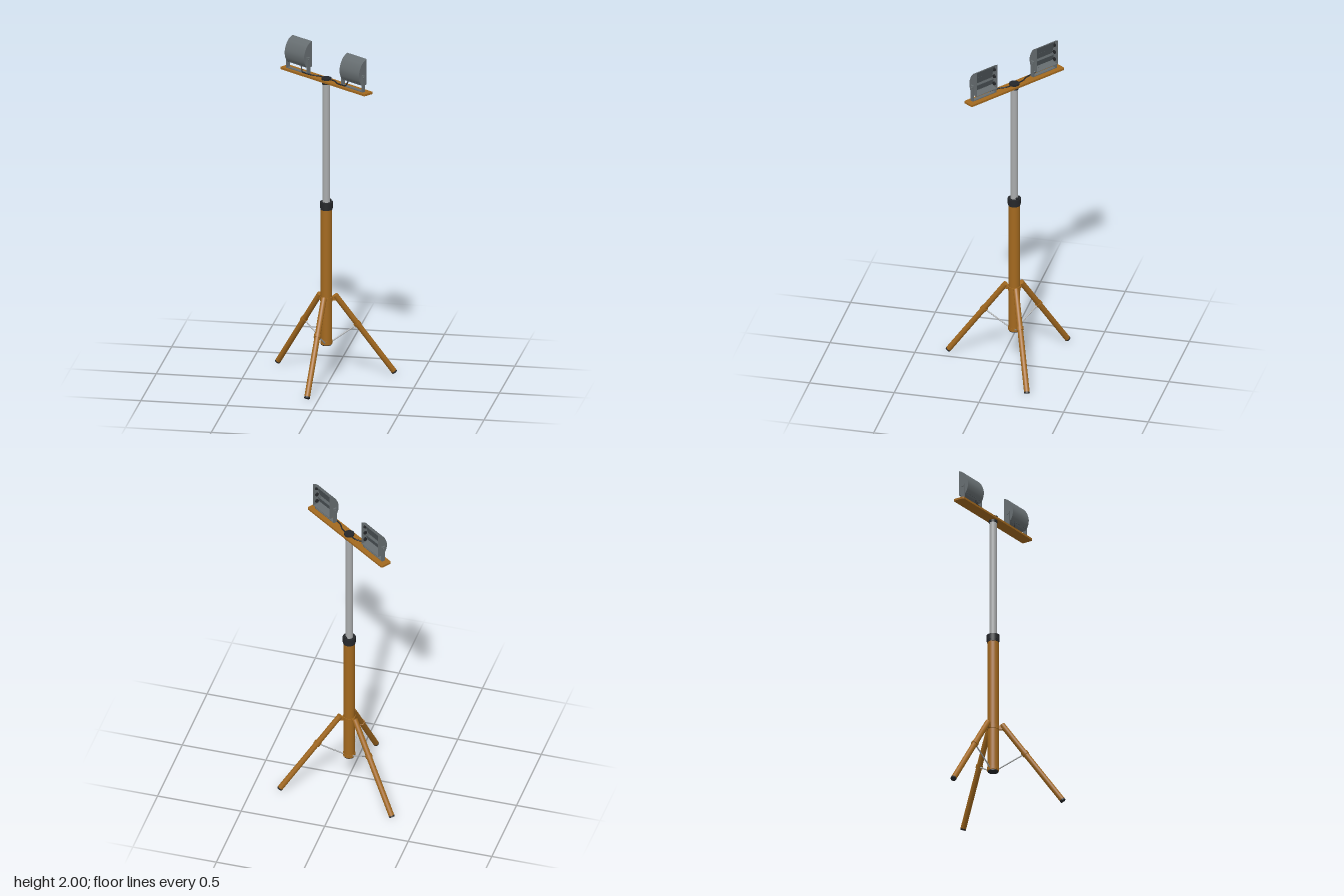
import * as THREE from 'three';
import { toCreasedNormals } from 'three/addons/utils/BufferGeometryUtils.js';

const paint = (name, color, extra = {}) =>
  Object.assign(new THREE.MeshStandardMaterial({ color, ...extra }), { name });

export function createModel() {
  const orange = paint('orange', 0xa3691f);
  const black = paint('black', 0x25272a);
  const silver = paint('silver', 0xa9abac);
  const grey = paint('housing grey', 0x666d70, { side: THREE.DoubleSide });
  const dark = paint('reflector grey', 0x525a5e);

  const root = new THREE.Group();
  root.name = 'workLightStand';
  // Everything is laid out around the mast, with the crossbar along local x
  const stand = new THREE.Group();
  stand.name = 'stand';
  stand.position.set(-0.023, 0, -0.082);
  stand.rotation.y = -0.627;
  root.add(stand);

  const add = (parent, name, geo, mat, x = 0, y = 0, z = 0) => {
    const m = new THREE.Mesh(geo, mat);
    m.name = name;
    m.position.set(x, y, z);
    parent.add(m);
    return m;
  };
  const post = (name, r, y0, y1, mat) =>
    add(stand, name, new THREE.CylinderGeometry(r, r, y1 - y0, 32), mat, 0, (y0 + y1) / 2);
  // Cylinder between two points
  const rod = (parent, name, a, b, r, mat) => {
    const d = b.clone().sub(a);
    const m = add(parent, name, new THREE.CylinderGeometry(r, r, d.length(), 20), mat);
    m.position.copy(a).addScaledVector(d, 0.5);
    m.quaternion.setFromUnitVectors(new THREE.Vector3(0, 1, 0), d.normalize());
    return m;
  };

  // Mast
  post('mastFoot', 0.03, 0.207, 0.215, black);
  post('lowerMast', 0.0325, 0.212, 1.035, orange);
  post('braceCollar', 0.035, 0.215, 0.235, orange);
  post('hingeCollar', 0.036, 0.472, 0.498, orange);
  post('clampBase', 0.035, 1.025, 1.04, black);
  post('clampCollar', 0.038, 1.036, 1.07, black);
  post('upperMast', 0.0215, 1.06, 1.795, silver);
  post('topCollar', 0.025, 1.782, 1.8, black);
  post('topCap', 0.029, 1.8, 1.82, black);
  const knob = add(stand, 'clampKnob', new THREE.CylinderGeometry(0.007, 0.007, 0.02, 16), black, 0, 1.075, -0.024);
  knob.rotation.x = Math.PI / 2;

  // Three folding legs
  for (let i = 0; i < 3; i++) {
    const leg = new THREE.Group();
    leg.name = 'leg';
    leg.rotation.y = Math.PI + i * Math.PI * 2 / 3;
    stand.add(leg);
    const top = new THREE.Vector3(0.052, 0.503, 0);
    const foot = new THREE.Vector3(0.403, 0.0095, 0);
    const at = t => top.clone().lerp(foot, t);
    rod(leg, 'legTube', top, at(0.985), 0.0165, orange);
    rod(leg, 'legFoot', at(0.985), foot, 0.0165, black);
    rod(leg, 'legRing', at(0.36), at(0.395), 0.0205, orange);
    rod(leg, 'legBrace', at(0.378), new THREE.Vector3(0.03, 0.224, 0), 0.004, silver);
    add(leg, 'legHinge', new THREE.BoxGeometry(0.04, 0.024, 0.016), orange, 0.045, 0.484, 0);
  }

  // Crossbar with rounded corners
  const L = 0.35, W = 0.035, c = 0.01;
  const plate = new THREE.Shape();
  plate.moveTo(-L + c, -W).lineTo(L - c, -W).quadraticCurveTo(L, -W, L, -W + c)
    .lineTo(L, W - c).quadraticCurveTo(L, W, L - c, W)
    .lineTo(-L + c, W).quadraticCurveTo(-L, W, -L, W - c)
    .lineTo(-L, -W + c).quadraticCurveTo(-L, -W, -L + c, -W);
  const barGeo = new THREE.ExtrudeGeometry(plate, { depth: 0.012, bevelEnabled: false });
  barGeo.rotateX(-Math.PI / 2);
  add(stand, 'crossbar', barGeo, orange, 0, 1.797, 0);

  // Housing section: first coordinate points to the open side, second is up
  const curve = new THREE.SplineCurve([
    [0.031, 0.155], [0.002, 0.138], [-0.019, 0.108], [-0.031, 0.068], [-0.025, 0.028], [-0.008, 0.002],
  ].map(p => new THREE.Vector2(...p))).getPoints(20);
  const outer = [...curve, new THREE.Vector2(0.031, 0)];
  const inner = outer.map(p => new THREE.Vector2(
    p.x > 0.03 ? p.x : p.x + 0.003, 0.0775 + (p.y - 0.0775) * 0.96)).reverse();
  const extrudeX = (pts, len) => {
    const g = new THREE.ExtrudeGeometry(new THREE.Shape(pts), { depth: len, bevelEnabled: false });
    g.translate(0, 0, -len / 2);
    g.rotateY(Math.PI / 2);
    return toCreasedNormals(g, 0.5);
  };
  const shellGeo = extrudeX([...outer, ...inner], 0.16);
  const endGeo = extrudeX(outer, 0.004);

  for (const side of [-1, 1]) {
    const lamp = new THREE.Group();
    lamp.name = side > 0 ? 'leftLamp' : 'rightLamp';
    lamp.position.set(side * 0.227, 1.845, 0.006);
    stand.add(lamp);
    add(lamp, 'housingShell', shellGeo, grey);
    // Three tilted reflector slats inside the housing
    [[0.03, 0.008], [0.075, 0.012], [0.118, -0.004]].forEach(([y, z]) => {
      const slat = add(lamp, 'reflectorSlat', new THREE.BoxGeometry(0.152, 0.042, 0.004), dark, 0, y, z);
      slat.rotation.x = -0.3;
    });
    for (const e of [-1, 1]) {
      add(lamp, 'housingEnd', endGeo, grey, e * 0.078, 0, 0);
      // Bulb sockets on the inner face of each end
      for (const y of [0.027, 0.073, 0.118]) {
        const s = add(lamp, 'bulbSocket', new THREE.CylinderGeometry(0.011, 0.011, 0.008, 20), black, e * 0.073, y, -0.009);
        s.rotation.z = Math.PI / 2;
      }
      // Bracket arms and pivot bolts
      add(lamp, 'bracketArm', new THREE.BoxGeometry(0.009, 0.1, 0.022), grey, e * 0.0845, 0.014, 0);
      const bolt = add(lamp, 'pivotBolt', new THREE.CylinderGeometry(0.007, 0.007, 0.006, 16), grey, e * 0.091, 0.05, 0);
      bolt.rotation.z = Math.PI / 2;
    }
    add(lamp, 'bracketBase', new THREE.BoxGeometry(0.17, 0.005, 0.022), grey, 0, -0.034, 0);

    // Cable from the top cap to the lamp
    const path = new THREE.CatmullRomCurve3([
      [0.02, 1.813, -0.005], [0.062, 1.814, -0.003], [0.1, 1.814, 0.014],
      [0.147, 1.815, 0.021], [0.18, 1.82, 0.02], [0.195, 1.85, 0.012],
    ].map(([x, y, z]) => new THREE.Vector3(side * x, y, z)));
    add(stand, 'cable', new THREE.TubeGeometry(path, 32, 0.004, 8), black);
  }
  return root;
}
